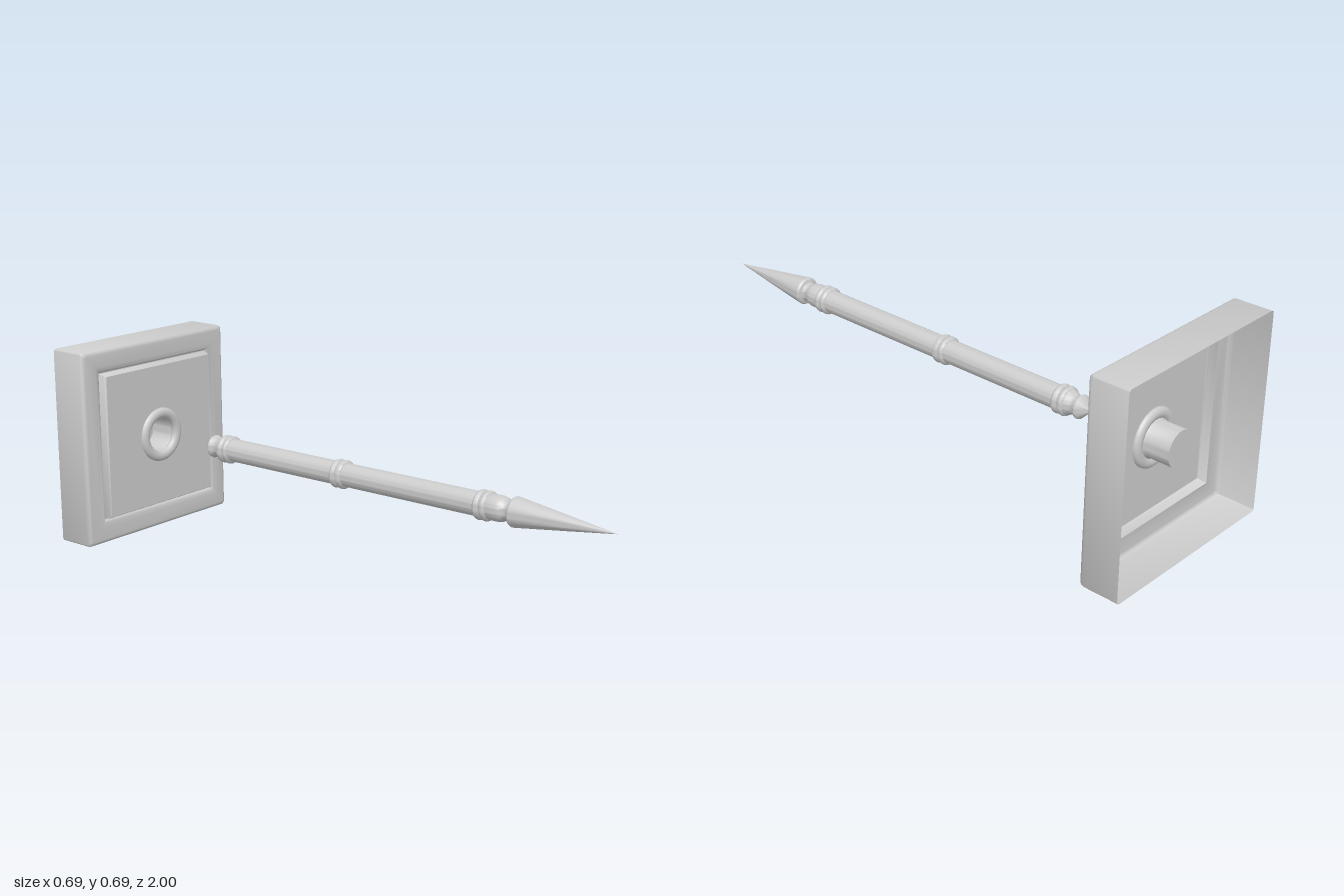
import * as THREE from 'three';
import { toCreasedNormals } from 'three/addons/utils/BufferGeometryUtils.js';

const CY = 0.344; // height of the shared axis

const material = new THREE.MeshStandardMaterial({ color: 0xcccccc, side: THREE.DoubleSide });

function add(group, name, geometry) {
  const mesh = new THREE.Mesh(geometry, material);
  mesh.name = name;
  group.add(mesh);
  return mesh;
}

// Turned part along z; profile rows are [radius, z], from back to front.
function turned(profile, crease = 0.6) {
  const points = profile.map(([r, z]) => new THREE.Vector2(r, z));
  const g = new THREE.LatheGeometry(points, 40);
  g.rotateX(Math.PI / 2);
  return toCreasedNormals(g, crease);
}

// Rows for a half-round bead standing on radius r.
function bead(r, z, half, height) {
  const rows = [];
  for (let i = 0; i <= 6; i++) {
    const a = Math.PI * i / 6;
    rows.push([r + height * Math.sin(a), z - half * Math.cos(a)]);
  }
  return rows;
}

// Skin through concentric rounded squares; rows are [half size, z, corner radius].
function squareLoft(rows) {
  const pos = [], index = [], corner = 5, n = corner * 4;
  rows.forEach(([h, z, c]) => {
    for (let q = 0; q < 4; q++) {
      const mid = Math.PI / 4 + q * Math.PI / 2;
      for (let i = 0; i < corner; i++) {
        const a = q * Math.PI / 2 + (i / (corner - 1)) * Math.PI / 2;
        pos.push(Math.sign(Math.cos(mid)) * (h - c) + c * Math.cos(a),
          Math.sign(Math.sin(mid)) * (h - c) + c * Math.sin(a), z);
      }
    }
  });
  for (let r = 0; r < rows.length - 1; r++) {
    for (let i = 0; i < n; i++) {
      const a = r * n + i, b = r * n + (i + 1) % n;
      index.push(a, b, b + n, a, b + n, a + n);
    }
  }
  const g = new THREE.BufferGeometry();
  g.setAttribute('position', new THREE.Float32BufferAttribute(pos, 3));
  g.setIndex(index);
  return toCreasedNormals(g, 0.7);
}

export function createModel() {
  const model = new THREE.Group();
  model.name = 'spearAndWallPlate';

  // Open-backed plate: outer walls, rounded rim, frame, groove and panel bevel
  const plate = new THREE.Group();
  plate.name = 'wallPlate';
  plate.position.y = CY;
  model.add(plate);
  add(plate, 'plateFrame', squareLoft([
    [0.343, -1, 0.012],
    [0.343, -0.876, 0.012],
    [0.341, -0.868, 0.011],
    [0.336, -0.862, 0.009],
    [0.328, -0.860, 0.006],
    [0.285, -0.860, 0.001],
    [0.272, -0.862, 0.001],
    [0.266, -0.866, 0.001],
    [0.261, -0.875, 0.001],
    [0.258, -0.875, 0.001],
    [0.254, -0.852, 0.001],
    [0.250, -0.845, 0.001],
  ]));

  // Flat centre panel with a round opening
  const s = 0.25;
  const shape = new THREE.Shape([[-s, -s], [s, -s], [s, s], [-s, s]]
    .map(([x, y]) => new THREE.Vector2(x, y)));
  shape.holes.push(new THREE.Path().absarc(0, 0, 0.075, 0, Math.PI * 2, true));
  add(plate, 'centrePanel', new THREE.ShapeGeometry(shape, 24)).position.z = -0.845;

  // Ring round the opening, and the blind socket behind it
  const ring = new THREE.TorusGeometry(0.078, 0.019, 16, 48);
  ring.scale(1, 1, 0.8);
  add(plate, 'socketRing', ring).position.z = -0.846;
  add(plate, 'socketCup', turned([[0, -0.945], [0.06, -0.945], [0.06, -0.865], [0.068, -0.845]]));

  // Turned spear lying on the plate's axis
  const spear = new THREE.Group();
  spear.name = 'spear';
  spear.position.y = CY;
  model.add(spear);
  add(spear, 'endKnob', turned([
    [0, -0.615], [0.012, -0.608], [0.038, -0.582], [0.039, -0.576],
    [0.032, -0.562], [0.033, -0.553], [0.04, -0.54], [0.042, -0.525], [0.04, -0.52],
  ]));
  add(spear, 'shaft', turned([[0.039, -0.53], [0.039, 0.57]]));
  add(spear, 'neck', turned([
    [0.039, 0.56], [0.041, 0.57], [0.041, 0.6], [0.038, 0.615], [0.031, 0.622],
    [0.03, 0.632], [0.034, 0.642], [0.04, 0.648],
  ], 0.9));
  add(spear, 'pointedHead', turned([
    [0.03, 0.64], [0.044, 0.645], [0.048, 0.652], [0.047, 0.662], [0.024, 0.83], [0, 1],
  ]));

  // Pairs of bands along the shaft
  for (const z of [-0.513, -0.016, 0.543]) {
    add(spear, 'bandPair', turned([
      ...bead(0.039, z - 0.012, 0.011, 0.009),
      ...bead(0.039, z + 0.012, 0.011, 0.009),
    ], 0.9));
  }

  return model;
}
